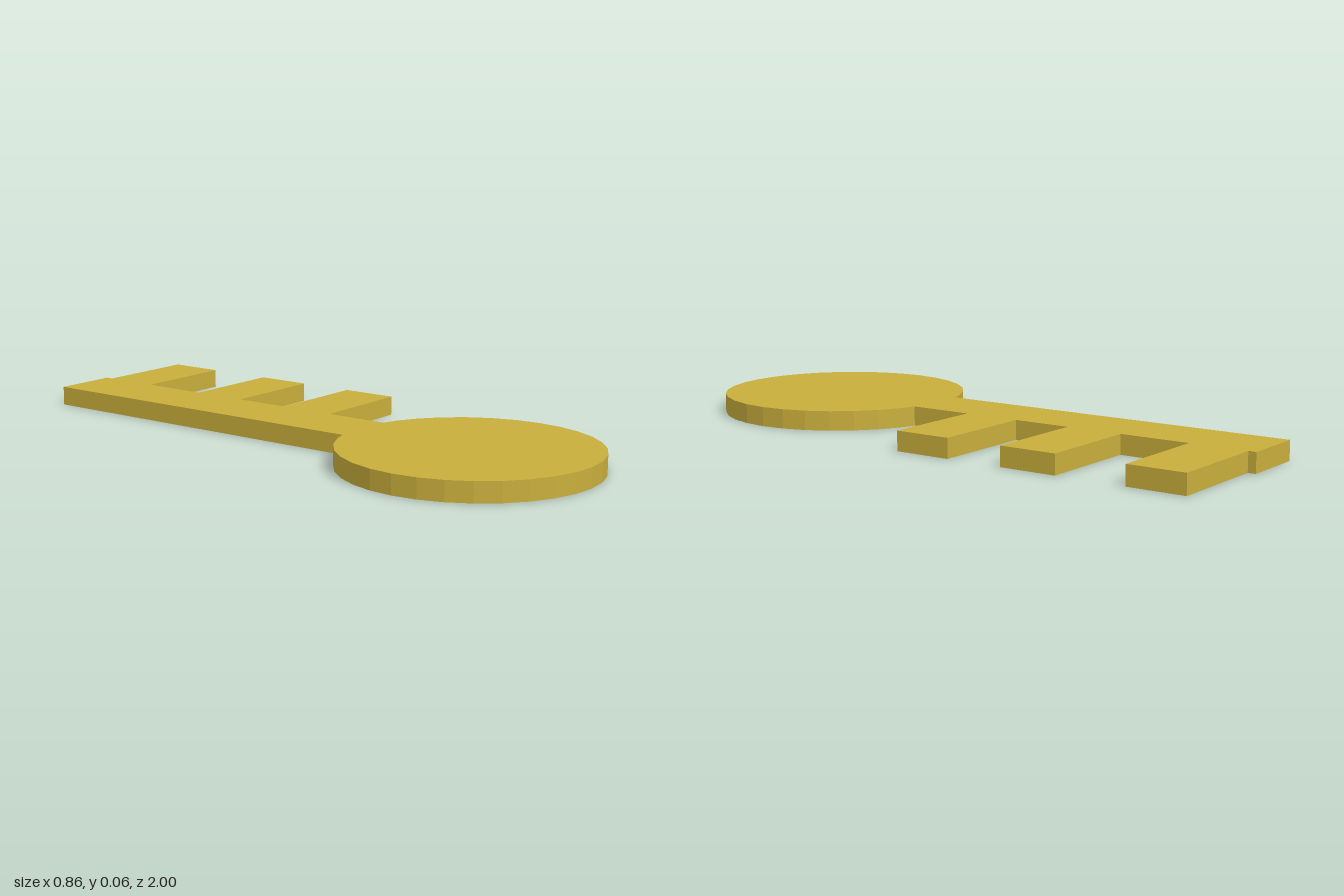
import * as THREE from 'three';

export function createModel() {
  const group = new THREE.Group();
  group.name = 'key';

  const thickness = 0.0625;
  const left = -0.133, right = 0.08, toothTip = 0.427;
  const neck = -0.211, tip = 1;
  const bow = { x: -0.0265, y: -0.598, radius: 0.402, sides: 32 };

  // Outline drawn in plan, with shape y pointing to the back (-z)
  const outline = [new THREE.Vector2(right, neck)];

  // Three teeth along the left edge of the blade
  for (const [start, end] of [[0, 0.187], [0.375, 0.561], [0.788, 0.975]]) {
    outline.push(
      new THREE.Vector2(right, start),
      new THREE.Vector2(toothTip, start),
      new THREE.Vector2(toothTip, end),
      new THREE.Vector2(right, end)
    );
  }

  // Blade tip and plain edge
  outline.push(
    new THREE.Vector2(right, tip),
    new THREE.Vector2(left, tip),
    new THREE.Vector2(left, neck)
  );

  // Round bow, leaving out the corners hidden under the neck
  for (let i = 2; i <= bow.sides - 2; i++) {
    const a = Math.PI / 2 + (i / bow.sides) * Math.PI * 2;
    outline.push(new THREE.Vector2(
      bow.x + bow.radius * Math.cos(a),
      bow.y + bow.radius * Math.sin(a)
    ));
  }

  // Flat plate lying on the ground
  const geometry = new THREE.ExtrudeGeometry(new THREE.Shape(outline), {
    depth: thickness,
    bevelEnabled: false
  });
  geometry.rotateX(-Math.PI / 2);

  const material = new THREE.MeshStandardMaterial({ color: 0xc9ae3c, flatShading: true });
  const plate = new THREE.Mesh(geometry, material);
  plate.name = 'keyPlate';
  group.add(plate);
  return group;
}
